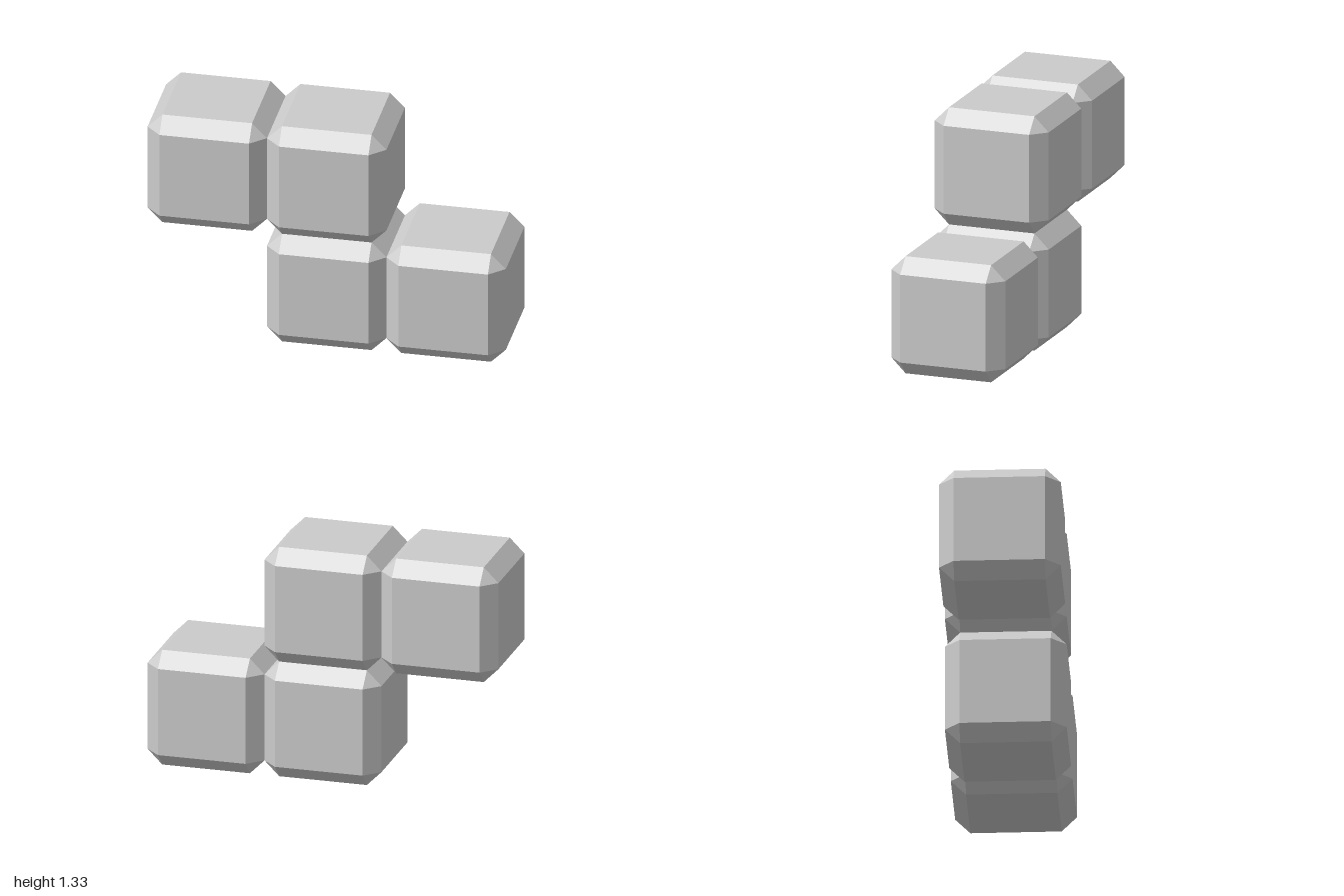
import * as THREE from 'three';
import { ConvexGeometry } from 'three/addons/geometries/ConvexGeometry.js';

const SIZE = 2 / 3; // edge of one cube
const BEVEL = 1 / 12; // width cut off each edge

// Cube with bevelled edges and triangular corners
function bevelledCube(size, bevel) {
  const h = size / 2;
  const i = h - bevel;
  const points = [];
  for (const sx of [-1, 1])
    for (const sy of [-1, 1])
      for (const sz of [-1, 1])
        points.push(
          new THREE.Vector3(sx * h, sy * i, sz * i),
          new THREE.Vector3(sx * i, sy * h, sz * i),
          new THREE.Vector3(sx * i, sy * i, sz * h)
        );
  return new ConvexGeometry(points);
}

export function createModel() {
  const model = new THREE.Group();
  model.name = 'zigzagBlock';
  const material = new THREE.MeshStandardMaterial({ color: 0xcccccc, flatShading: true });
  const geometry = bevelledCube(SIZE, BEVEL);

  // Column and row of each cube in the zigzag
  const cubes = [
    ['upperRightCube', -1, 1],
    ['upperMiddleCube', 0, 1],
    ['lowerMiddleCube', 0, 0],
    ['lowerLeftCube', 1, 0],
  ];
  for (const [name, column, row] of cubes) {
    const cube = new THREE.Mesh(geometry, material);
    cube.name = name;
    cube.position.set(column * SIZE, (row + 0.5) * SIZE, 0);
    model.add(cube);
  }
  return model;
}
